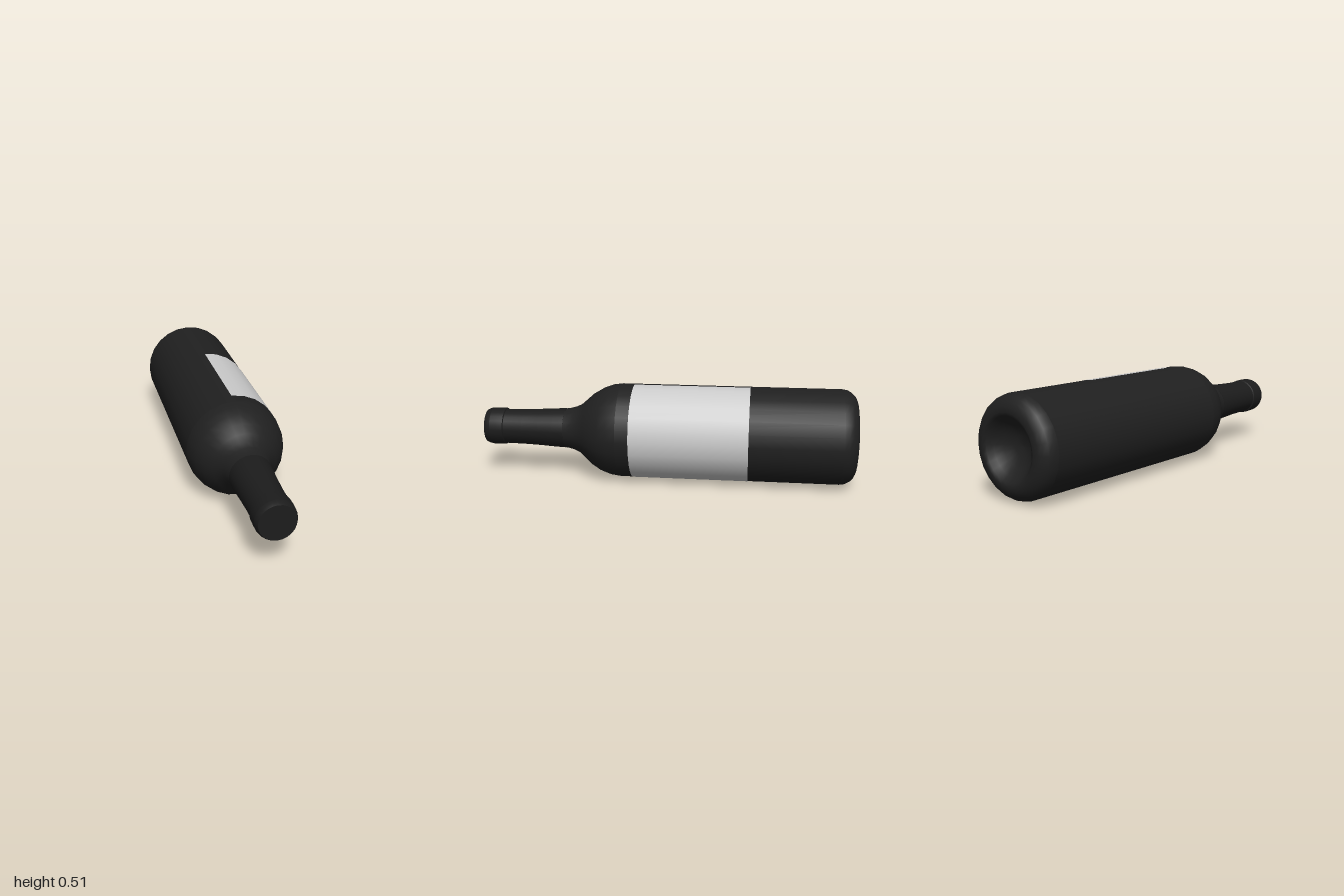
import * as THREE from 'three';

const SIDES = 24, AXIS_Y = 0.254;

// Revolve [radius, z] points around the bottle's lengthwise axis
function turned(name, points, material, sides = SIDES, sweep = Math.PI * 2) {
  const profile = points.map(([r, z]) => new THREE.Vector2(r, z));
  const geometry = new THREE.LatheGeometry(profile, sides, 0, sweep);
  geometry.rotateX(Math.PI / 2);
  const mesh = new THREE.Mesh(geometry, material);
  mesh.name = name;
  mesh.position.y = AXIS_Y;
  return mesh;
}

export function createModel() {
  const bottle = new THREE.Group();
  bottle.name = 'bottle';
  const glass = new THREE.MeshStandardMaterial({ color: 0x202020 });
  const foil = new THREE.MeshStandardMaterial({ color: 0x1c1c1c });
  const paper = new THREE.MeshStandardMaterial({ color: 0xcccccc, side: THREE.DoubleSide });

  // Hollow base with a rounded rim
  const rim = [];
  for (let i = 0; i <= 5; i++) {
    const a = (i / 5) * Math.PI / 2;
    rim.push([0.173 + 0.08 * Math.sin(a), -0.92 - 0.08 * Math.cos(a)]);
  }
  bottle.add(turned('base', [
    [0, -0.9], [0.05, -0.905], [0.1, -0.93], [0.135, -0.965], [0.155, -0.992], ...rim,
  ], glass));

  // Straight body
  bottle.add(turned('body', [[0.253, -0.92], [0.253, 0.25]], glass));

  // Shoulder curving into the neck
  bottle.add(turned('shoulder', [
    [0.253, 0.25], [0.246, 0.3], [0.228, 0.35], [0.198, 0.4], [0.162, 0.44],
    [0.136, 0.47], [0.119, 0.505], [0.11, 0.54], [0.106, 0.565],
  ], glass));

  // Foil sleeve over the neck, with a small step at its lower edge
  bottle.add(turned('sleeveEdge', [[0.104, 0.56], [0.108, 0.56]], foil));
  bottle.add(turned('neckSleeve', [
    [0.108, 0.56], [0.105, 0.62], [0.1, 0.7], [0.096, 0.79], [0.094, 0.9],
  ], foil));

  // Raised lip band and flat cap
  bottle.add(turned('lipUnderside', [[0.093, 0.893], [0.1, 0.897]], foil));
  bottle.add(turned('lip', [[0.1, 0.897], [0.101, 0.93], [0.1, 0.968]], foil));
  bottle.add(turned('lipBevel', [[0.1, 0.968], [0.097, 0.985], [0.09, 1]], foil));
  bottle.add(turned('cap', [[0.09, 1], [0, 1]], foil));

  // Paper label wrapped round the left half of the body
  bottle.add(turned('label', [[0.2545, -0.44], [0.2545, 0.18]], paper, SIDES / 2, Math.PI));

  return bottle;
}
